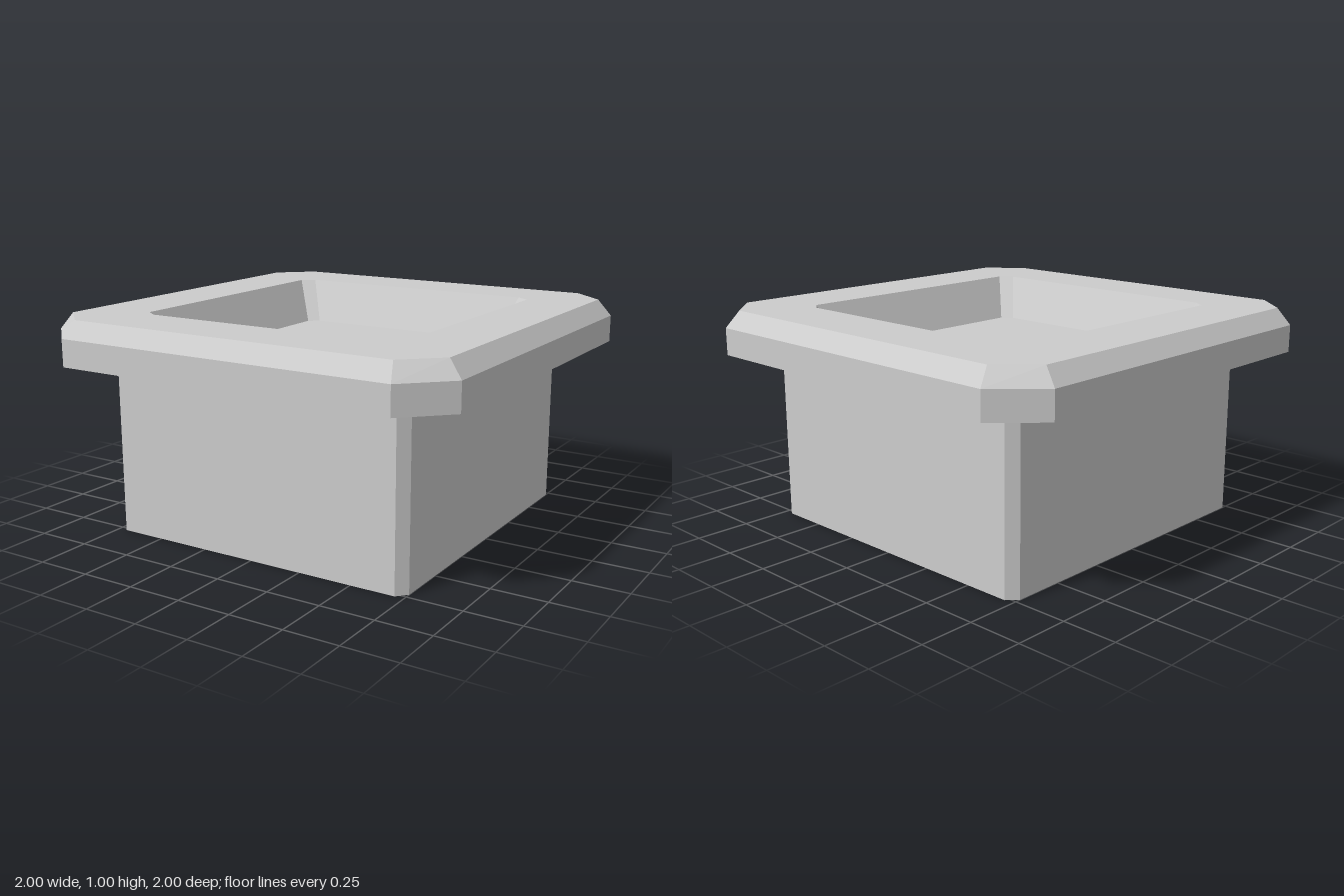
import * as THREE from 'three';

// Eight corners of a rectangle with cut corners at height y.
// x, z: half sizes; fx, fz: half lengths of the straight edges.
function ring(y, x, z, fx, fz) {
  return [
    [x, fz], [x, -fz], [fx, -z], [-fx, -z],
    [-x, -fz], [-x, fz], [-fx, z], [fx, z],
  ].map(([px, pz]) => new THREE.Vector3(px, y, pz));
}

// Flat-faced skin through successive rings, with an optional cap on either end.
function loft(rings, capStart, capEnd) {
  const points = [];
  const cap = (r, flip) => {
    for (let i = 1; i < r.length - 1; i++) {
      points.push(...(flip ? [r[0], r[i + 1], r[i]] : [r[0], r[i], r[i + 1]]));
    }
  };
  for (let k = 0; k < rings.length - 1; k++) {
    const a = rings[k], b = rings[k + 1];
    for (let i = 0; i < a.length; i++) {
      const j = (i + 1) % a.length;
      points.push(a[i], a[j], b[j], a[i], b[j], b[i]);
    }
  }
  if (capStart) cap(rings[0], true);
  if (capEnd) cap(rings[rings.length - 1], false);
  const geometry = new THREE.BufferGeometry().setFromPoints(points);
  geometry.computeVertexNormals();
  return geometry;
}

export function createModel() {
  const group = new THREE.Group();
  const grey = new THREE.MeshStandardMaterial({ color: 0xcccccc });
  grey.name = 'light grey';

  const add = (name, geometry) => {
    const mesh = new THREE.Mesh(geometry, grey);
    mesh.name = name;
    group.add(mesh);
  };

  const body = (y) => ring(y, 0.75, 0.77, 0.708, 0.725);
  const outer = (y) => ring(y, 1, 1, 0.81, 0.815);
  const recessTop = ring(1, 0.65, 0.655, 0.59, 0.612);
  const recessFloor = ring(0.8, 0.55, 0.558, 0.5, 0.522);

  // Straight base block with its underside
  add('base', loft([body(0), body(0.8)], true, false));

  // Overhanging rim: underside, side, bevel and flat top
  add('rim', loft([
    body(0.8), outer(0.8), outer(0.925), ring(1, 0.94, 0.94, 0.785, 0.795), recessTop,
  ], false, false));

  // Sunken tray with sloping walls and a flat floor
  add('recess', loft([recessTop, recessFloor], false, true));

  return group;
}
